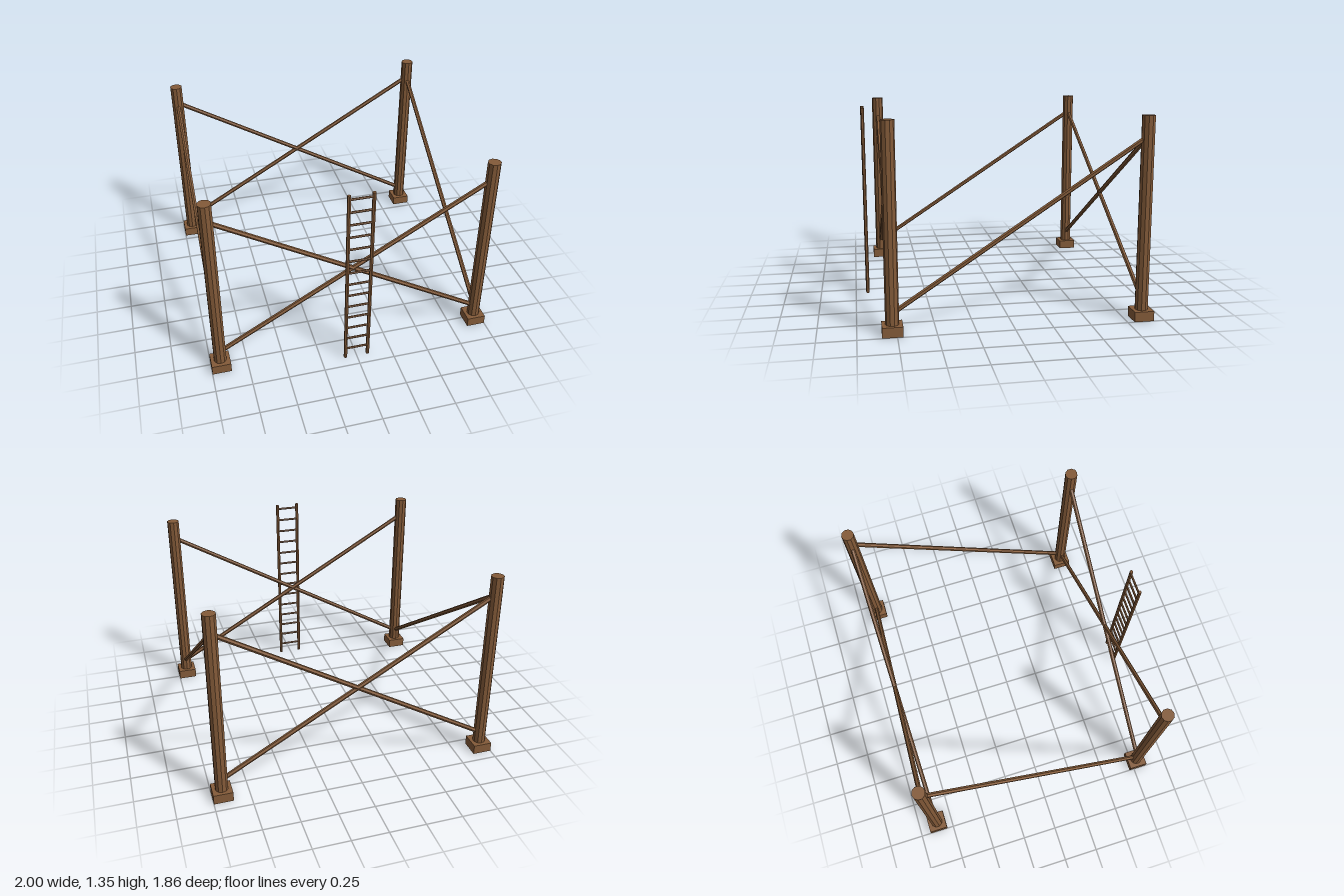
import * as THREE from 'three';

const wood = new THREE.MeshStandardMaterial({ color: 0x845b39 });
wood.name = 'brown wood';

const H = 1.35, X = 0.934, FRONT = 0.779, BACK = -0.862;
const UP = new THREE.Vector3(0, 1, 0);

// Faceted round timber running between two points
function timber(name, from, to, radius, sides) {
  const a = new THREE.Vector3(...from), b = new THREE.Vector3(...to);
  const dir = b.clone().sub(a);
  let geo = new THREE.CylinderGeometry(radius, radius, dir.length(), sides).toNonIndexed();
  geo.computeVertexNormals(); // flat facets
  const mesh = new THREE.Mesh(geo, wood);
  mesh.name = name;
  mesh.position.copy(a).add(b).multiplyScalar(0.5);
  mesh.quaternion.setFromUnitVectors(UP, dir.normalize());
  return mesh;
}

export function createModel() {
  const model = new THREE.Group();
  model.name = 'timberTowerFrame';
  const low = H * 0.1, high = H * 0.9;

  // Four corner posts on square feet
  for (const [zName, z] of [['front', FRONT], ['back', BACK]]) {
    for (const [xName, s] of [['Left', 1], ['Right', -1]]) {
      model.add(timber(`${zName}${xName}Post`, [s * X, 0.01, z], [s * X, H, z], 0.044, 10));
      const foot = new THREE.Mesh(new THREE.BoxGeometry(0.132, 0.067, 0.132), wood);
      foot.name = `${zName}${xName}Foot`;
      foot.position.set(s * X, 0.0335, z);
      model.add(foot);
    }
    // Crossed braces on the front and back
    for (const s of [-1, 1]) {
      model.add(timber(`${zName}Brace`, [-s * X, low, z], [s * X, high, z], 0.016, 6));
    }
  }

  // Single diagonal on each side, rising to the back
  for (const s of [-1, 1]) {
    model.add(timber('sideBrace', [s * X, low, FRONT], [s * X, high, BACK], 0.016, 6));
  }

  // Ladder standing in front
  const ladder = new THREE.Group();
  ladder.name = 'ladder';
  const railX = 0.08, z = 0.915;
  for (const s of [-1, 1]) {
    ladder.add(timber('ladderRail', [s * railX, 0, z], [s * railX, H, z], 0.0125, 6));
  }
  for (let i = 0; i < 14; i++) {
    const y = 0.08 + i * 0.0953;
    ladder.add(timber('ladderRung', [-railX, y, z], [railX, y, z], 0.008, 6));
  }
  model.add(ladder);
  return model;
}
